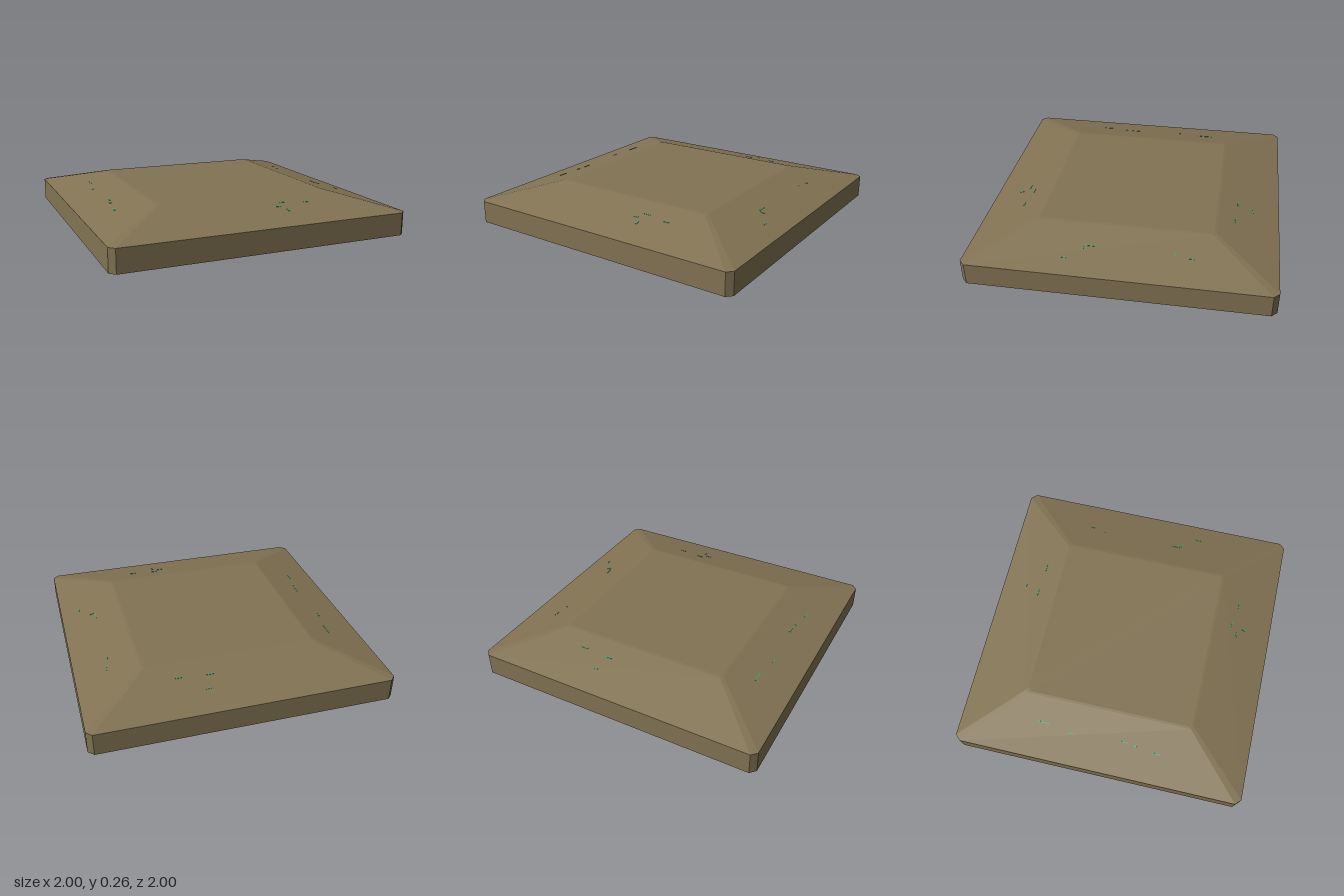
import * as THREE from 'three';

const RIM_Y = 0.152, TOP_Y = 0.265, INNER = 0.585;
const SLOPE = (TOP_Y - RIM_Y) / (1 - INNER);

// Square outline with cut corners, counter-clockwise seen from above
function ring(half, cut, y) {
  const points = [];
  for (let k = 0; k < 4; k++) {
    for (const [x, z] of [[half, half - cut], [half, cut - half]]) {
      const c = Math.round(Math.cos(k * Math.PI / 2)), s = Math.round(Math.sin(k * Math.PI / 2));
      points.push(new THREE.Vector3(x * c + z * s, y, -x * s + z * c));
    }
  }
  return points;
}

// Joins rings from bottom to top, with separate corners so every facet is flat
function loft(rings) {
  const corners = [];
  for (let r = 0; r < rings.length - 1; r++) {
    const a = rings[r], b = rings[r + 1];
    a.forEach((p, i) => {
      const j = (i + 1) % a.length;
      corners.push(p, a[j], b[j], p, b[j], b[i]);
    });
  }
  const bottom = rings[0], top = rings[rings.length - 1];
  for (let i = 1; i < bottom.length - 1; i++) {
    corners.push(bottom[0], bottom[i + 1], bottom[i], top[0], top[i], top[i + 1]);
  }
  const geometry = new THREE.BufferGeometry().setFromPoints(corners);
  geometry.computeVertexNormals();
  return geometry;
}

export function createModel() {
  const model = new THREE.Group();
  model.name = 'stoneSlab';
  const stone = new THREE.MeshStandardMaterial({ color: 0x827353 });
  stone.name = 'brown stone';
  const teal = new THREE.MeshStandardMaterial({ color: 0x3fa27c });
  teal.name = 'teal fleck';

  // Slab: upright rim, sloping shoulder, softened edge and flat top
  const slab = new THREE.Mesh(loft([
    ring(1, 0.036, 0),
    ring(1, 0.036, RIM_Y),
    ring(0.592, 0.018, 0.2625),
    ring(0.577, 0.018, TOP_Y),
  ]), stone);
  slab.name = 'slab';
  model.add(slab);

  // Tiny flecks showing through the slopes: x, z, width, depth
  const flecks = new THREE.Group();
  flecks.name = 'flecks';
  const spots = [
    [-0.76, -0.42, 0.006, 0.09], [-0.79, -0.22, 0.008, 0.03], [-0.77, 0.15, 0.006, 0.06],
    [-0.78, 0.23, 0.015, 0.02], [-0.8, 0.38, 0.008, 0.06],
    [0.79, -0.45, 0.006, 0.04], [0.77, -0.35, 0.012, 0.01], [0.765, 0.2, 0.006, 0.06],
    [0.79, 0.24, 0.03, 0.008], [0.87, 0.35, 0.006, 0.04],
    [0.17, -0.715, 0.05, 0.008], [0.37, -0.705, 0.05, 0.006], [0.21, -0.82, 0.03, 0.008],
    [0.23, 0.715, 0.05, 0.006], [0.17, 0.76, 0.04, 0.008], [0.39, 0.74, 0.04, 0.006],
    [0.22, 0.81, 0.01, 0.03],
  ];
  for (const [x, z, width, depth] of spots) {
    const fleck = new THREE.Mesh(new THREE.BoxGeometry(width, 0.004, depth), teal);
    const reach = Math.max(Math.abs(x), Math.abs(z));
    fleck.position.set(x, RIM_Y + (1 - reach) * SLOPE, z);
    if (Math.abs(x) > Math.abs(z)) fleck.rotation.z = -Math.sign(x) * Math.atan(SLOPE);
    else fleck.rotation.x = Math.sign(z) * Math.atan(SLOPE);
    fleck.name = 'fleck';
    flecks.add(fleck);
  }
  model.add(flecks);
  return model;
}
